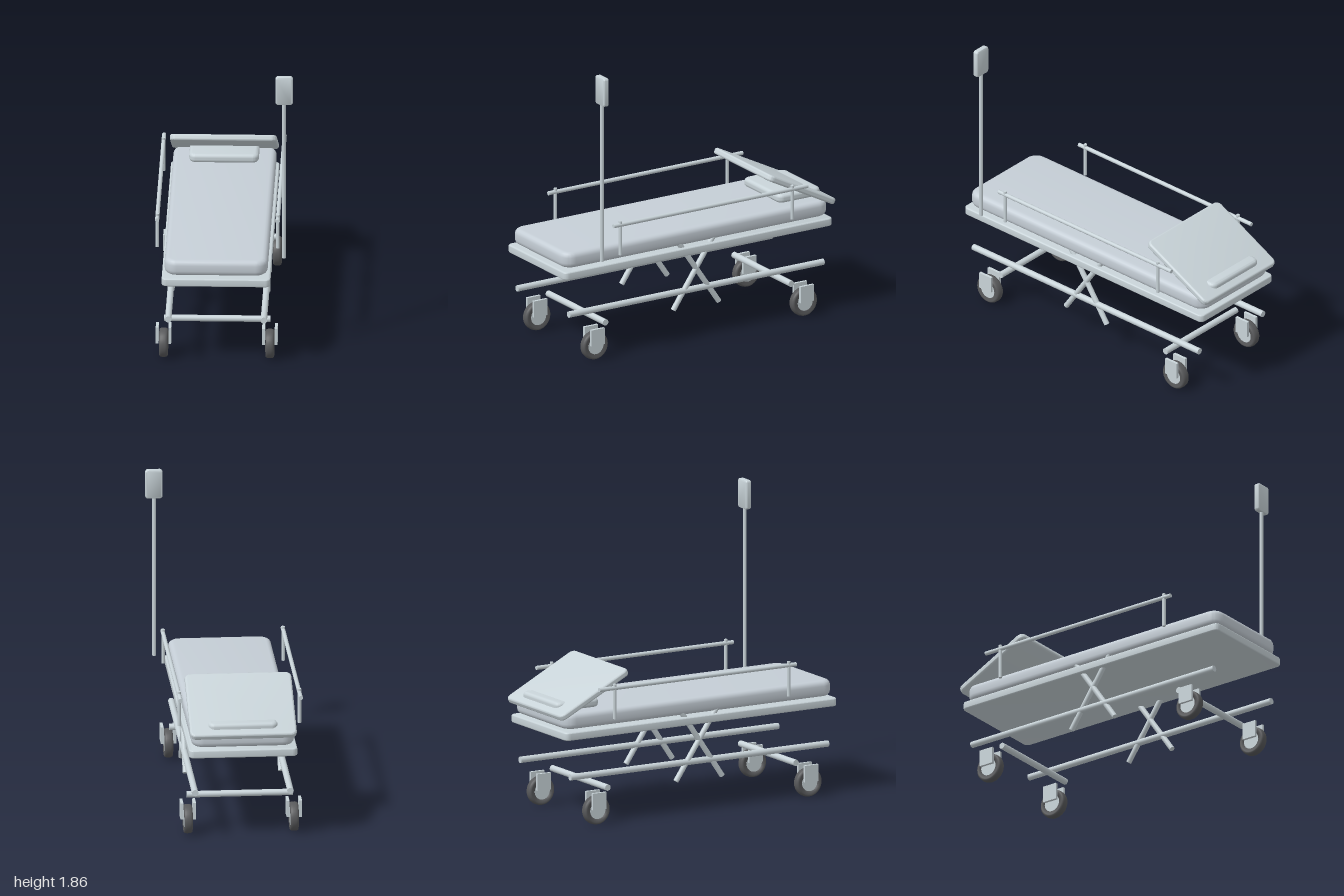
import * as THREE from 'three';
import { toCreasedNormals } from 'three/addons/utils/BufferGeometryUtils.js';

const CX = -0.045; // centre line of the bed, offset because the pole stands out on the left

export function createModel() {
  const metal = new THREE.MeshStandardMaterial({ color: 0xc8d3d8 });
  metal.name = 'pale steel';
  const fabric = new THREE.MeshStandardMaterial({ color: 0xc5ced6 });
  fabric.name = 'mattress grey';
  const rubber = new THREE.MeshStandardMaterial({ color: 0x58595b });
  rubber.name = 'dark rubber';

  const model = new THREE.Group();
  model.name = 'stretcher';

  function add(name, geometry, material, x, y, z, parent = model) {
    const mesh = new THREE.Mesh(geometry, material);
    mesh.name = name;
    mesh.position.set(x, y, z);
    parent.add(mesh);
    return mesh;
  }

  // Flat slab lying in xz, with rounded corners and rounded edges, centred on its origin
  function slab(w, h, l, corner, bevel) {
    const a = w / 2 - bevel, b = l / 2 - bevel, r = corner;
    const s = new THREE.Shape();
    s.moveTo(-a + r, -b);
    s.lineTo(a - r, -b);
    s.absarc(a - r, -b + r, r, -Math.PI / 2, 0);
    s.lineTo(a, b - r);
    s.absarc(a - r, b - r, r, 0, Math.PI / 2);
    s.lineTo(-a + r, b);
    s.absarc(-a + r, b - r, r, Math.PI / 2, Math.PI);
    s.lineTo(-a, -b + r);
    s.absarc(-a + r, -b + r, r, Math.PI, Math.PI * 1.5);
    const depth = h - 2 * bevel;
    const g = new THREE.ExtrudeGeometry(s, {
      depth, bevelEnabled: true, bevelSize: bevel, bevelThickness: bevel, bevelSegments: 4, curveSegments: 6,
    });
    g.translate(0, 0, -depth / 2);
    g.rotateX(-Math.PI / 2);
    return toCreasedNormals(g, 0.6);
  }

  // Round bar between two points
  function bar(name, from, to, radius, parent = model) {
    const a = new THREE.Vector3(...from), b = new THREE.Vector3(...to);
    const dir = b.clone().sub(a);
    const mid = a.add(b).multiplyScalar(0.5);
    const mesh = add(name, new THREE.CylinderGeometry(radius, radius, dir.length(), 20), metal, mid.x, mid.y, mid.z, parent);
    mesh.quaternion.setFromUnitVectors(new THREE.Vector3(0, 1, 0), dir.normalize());
    return mesh;
  }

  // Bed surfaces
  add('deck', slab(0.67, 0.05, 1.965, 0.025, 0.008), metal, CX, 0.572, 0.018);
  add('mattress', slab(0.636, 0.1, 1.94, 0.045, 0.032), fabric, CX, 0.66, 0.015);
  add('pillow', slab(0.43, 0.056, 0.312, 0.02, 0.022), metal, CX, 0.736, -0.801);
  const backrest = add('backrest', slab(0.66, 0.04, 0.55, 0.025, 0.013), metal, CX, 0.813, -0.748);
  backrest.rotation.x = -0.472;

  // Parts repeated on both sides
  for (const side of [-1, 1]) {
    const label = side > 0 ? 'left' : 'right';

    const rail = new THREE.Group();
    rail.name = label + 'SideRail';
    model.add(rail);
    const rx = CX + side * 0.372;
    bar('handRail', [rx, 0.855, 0.672], [rx, 0.855, -0.75], 0.013, rail);
    for (const z of [0.62, -0.638]) bar('railPost', [rx, 0.66, z], [rx, 0.88, z], 0.011, rail);

    const fx = CX + side * 0.295;
    bar(label + 'BaseTube', [fx, 0.308, 0.95], [fx, 0.308, -0.914], 0.02);

    const scissor = new THREE.Group();
    scissor.name = label + 'ScissorLift';
    model.add(scissor);
    for (const s of [-1, 1]) {
      bar('scissorArm', [fx, 0.195, 0.018 + s * 0.167], [fx, 0.685, 0.018 - s * 0.167], 0.017, scissor);
    }
  }

  // Cross bars of the base
  for (const z of [0.7, -0.66]) bar('crossBar', [CX - 0.328, 0.22, z], [CX + 0.328, 0.22, z], 0.02);

  // Casters: rounded tyre, hub and two fork plates
  const tyre = new THREE.LatheGeometry([
    [0.054, -0.022], [0.076, -0.027], [0.084, -0.025], [0.089, -0.018], [0.091, -0.008],
    [0.091, 0.008], [0.089, 0.018], [0.084, 0.025], [0.076, 0.027], [0.054, 0.022], [0.054, -0.022],
  ].map(([r, y]) => new THREE.Vector2(r, y)), 32);
  tyre.rotateZ(Math.PI / 2);
  const hub = new THREE.CylinderGeometry(0.055, 0.055, 0.046, 28);
  hub.rotateZ(Math.PI / 2);
  const plate = new THREE.BoxGeometry(0.018, 0.106, 0.097);
  for (const side of [-1, 1]) {
    for (const z of [0.785, -0.747]) {
      const caster = new THREE.Group();
      caster.name = (z > 0 ? 'front' : 'back') + (side > 0 ? 'Left' : 'Right') + 'Caster';
      caster.position.set(CX + side * 0.328, 0.091, z);
      model.add(caster);
      add('tyre', tyre, rubber, 0, 0, 0, caster);
      add('hub', hub, metal, 0, 0, 0, caster);
      for (const s of [-1, 1]) add('forkPlate', plate, metal, s * 0.039, 0.062, 0, caster);
    }
  }

  // Pole with a small panel on top
  bar('pole', [0.369, 0.66, 0.783], [0.369, 1.7, 0.783], 0.012);
  const panel = add('polePanel', slab(0.108, 0.038, 0.185, 0.008, 0.01), metal, 0.371, 1.772, 0.783);
  panel.rotation.x = Math.PI / 2;

  return model;
}
